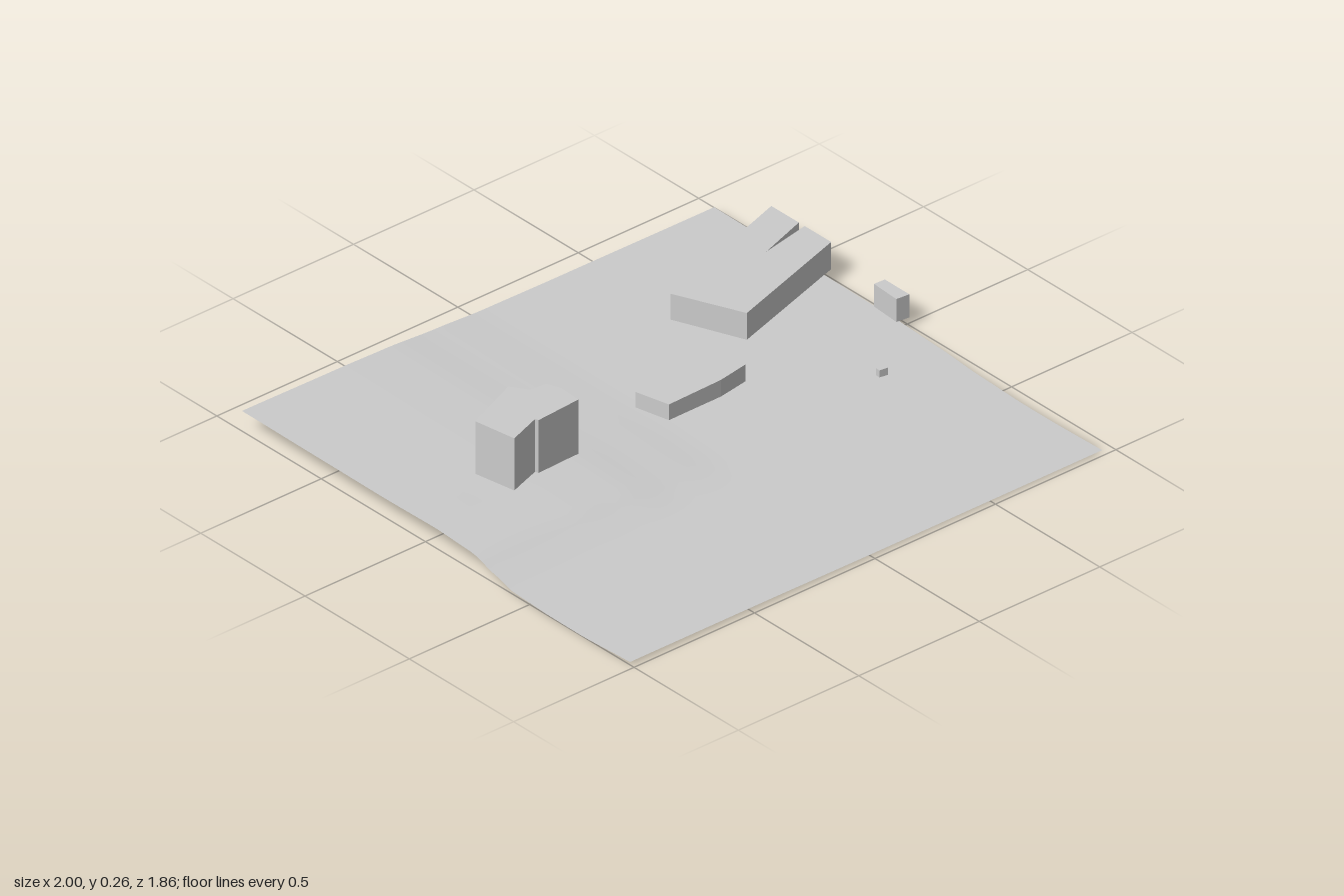
import * as THREE from 'three';

const material = new THREE.MeshStandardMaterial({ color: 0xcccccc, side: THREE.DoubleSide });

// Smooth interpolation through [position, value] pairs in ascending order
function sample(points, t) {
  if (t <= points[0][0]) return points[0][1];
  for (let i = 1; i < points.length; i++) {
    const [a, va] = points[i - 1], [b, vb] = points[i];
    if (t <= b) {
      const k = (t - a) / (b - a);
      return va + (vb - va) * (0.5 * k + 0.5 * k * k * (3 - 2 * k));
    }
  }
  return points[points.length - 1][1];
}

// Height along z on the raised left side and on the low right side
const highSide = [[-0.88, 0.075], [-0.5, 0.072], [-0.2, 0.07], [0.05, 0.073], [0.23, 0.064], [0.33, 0.034], [0.42, 0.01], [0.6, 0.002], [0.75, 0.001], [0.98, 0.011]];
const lowSide = [[-0.88, 0.04], [-0.5, 0.036], [0, 0.031], [0.2, 0.022], [0.4, 0.008], [0.6, 0.001], [0.75, 0.001], [0.98, 0.006]];
// Share of the high profile across x
const blend = [[-1, 1], [-0.6, 0.88], [-0.4, 0.76], [-0.2, 0.45], [0, 0.2], [0.3, 0.1], [0.96, 0]];

function createTerrain() {
  const geometry = new THREE.PlaneGeometry(1.96, 1.86, 56, 56);
  geometry.rotateX(-Math.PI / 2).translate(-0.02, 0, 0.05);
  const p = geometry.attributes.position;
  for (let i = 0; i < p.count; i++) {
    const x = p.getX(i), z = p.getZ(i);
    p.setY(i, THREE.MathUtils.lerp(sample(lowSide, z), sample(highSide, z), sample(blend, x)));
  }
  geometry.computeVertexNormals();
  const mesh = new THREE.Mesh(geometry, material);
  mesh.name = 'terrain';
  return mesh;
}

// Flat-roofed block extruded upward from an [x, z] footprint
function createBlock(name, footprint, bottom, top) {
  const shape = new THREE.Shape(footprint.map(([x, z]) => new THREE.Vector2(x, -z)));
  const geometry = new THREE.ExtrudeGeometry(shape, { depth: top - bottom, bevelEnabled: false });
  geometry.rotateX(-Math.PI / 2).translate(0, bottom, 0);
  const mesh = new THREE.Mesh(geometry, material);
  mesh.name = name;
  return mesh;
}

export function createModel() {
  const group = new THREE.Group();
  group.name = 'siteModel';
  group.add(
    createTerrain(),
    createBlock('tallBuilding', [[-0.685, -0.125], [-0.47, -0.215], [-0.43, -0.155], [-0.37, -0.15], [-0.35, -0.1],
      [-0.355, -0.012], [-0.53, 0], [-0.535, -0.012], [-0.66, 0.033]], 0.06, 0.26),
    createBlock('lowBuilding', [[-0.015, -0.13], [0.24, -0.18], [0.255, -0.105], [0.335, -0.142], [0.355, -0.03],
      [0.235, -0.01], [0.015, -0.005]], 0.033, 0.097),
    // Long hall with a wedge-shaped gap at its outer end
    createBlock('longBuilding', [[0.415, -0.46], [1, -0.652], [1, -0.52], [0.81, -0.455], [1, -0.492], [1, -0.365],
      [0.52, -0.215]], 0.034, 0.134),
    createBlock('edgeBuilding', [[0.957, -0.11], [1, -0.108], [1, 0.01], [0.95, 0.005]], 0.03, 0.115),
    createBlock('shed', [[0.7, 0.197], [0.735, 0.2], [0.732, 0.218], [0.7, 0.213]], 0.018, 0.049),
  );
  return group;
}
